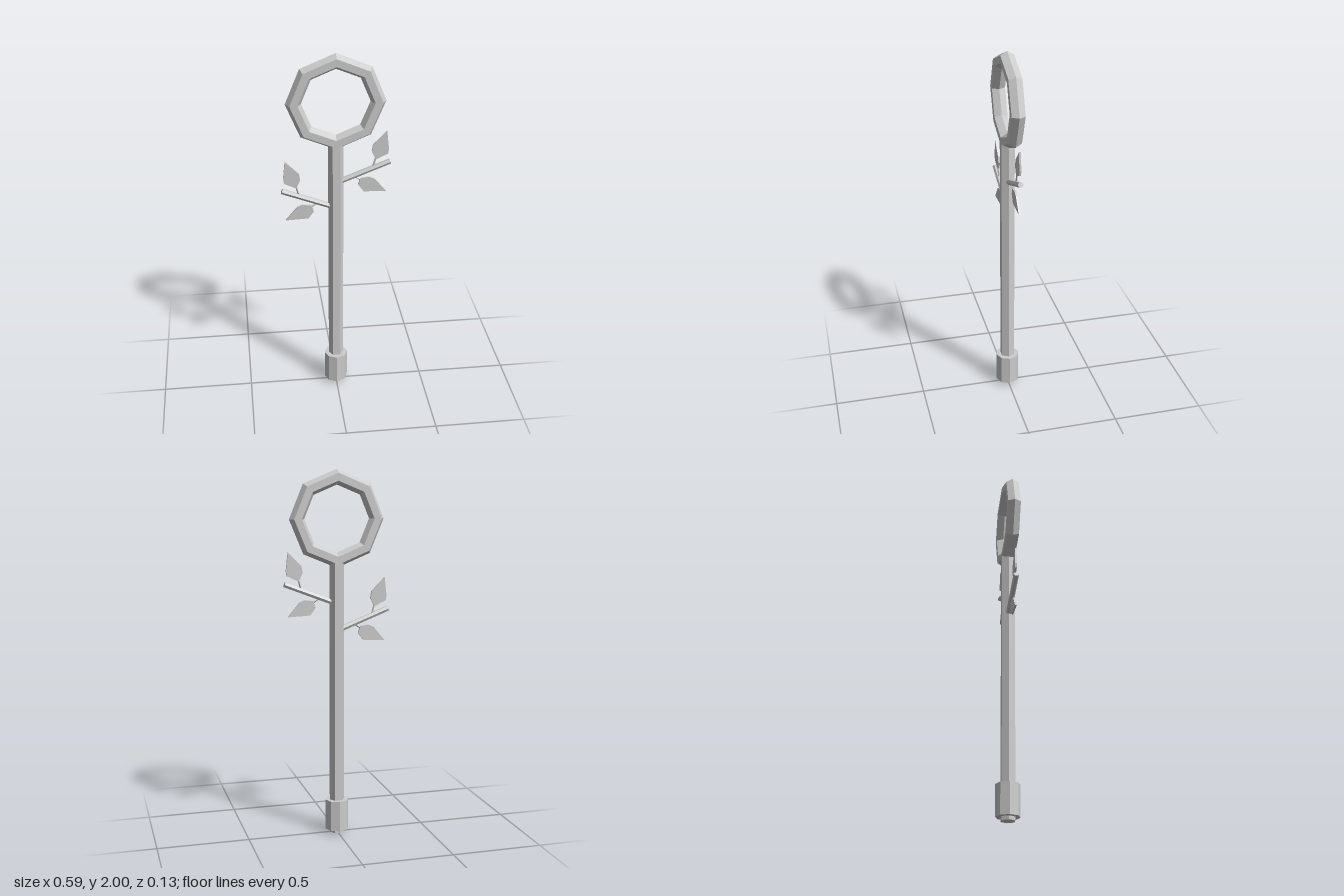
import * as THREE from 'three';

const material = new THREE.MeshStandardMaterial({ color: 0xcccccc, flatShading: true });

function addMesh(parent, name, geometry) {
  const mesh = new THREE.Mesh(geometry, material);
  mesh.name = name;
  parent.add(mesh);
  return mesh;
}

// Straight rod between two points in the z = 0 plane
function addRod(parent, name, from, to, radius, sides) {
  const a = new THREE.Vector3(from[0], from[1], 0);
  const b = new THREE.Vector3(to[0], to[1], 0);
  const dir = b.clone().sub(a);
  const rod = addMesh(parent, name, new THREE.CylinderGeometry(radius, radius, dir.length(), sides));
  rod.position.copy(a).add(b).multiplyScalar(0.5);
  rod.quaternion.setFromUnitVectors(new THREE.Vector3(0, 1, 0), dir.normalize());
}

// Thin flat leaf cut from an outline
function addLeaf(parent, name, outline) {
  const depth = 0.01;
  const shape = new THREE.Shape(outline.map(([x, y]) => new THREE.Vector2(x, y)));
  const geometry = new THREE.ExtrudeGeometry(shape, { depth, bevelEnabled: false });
  geometry.translate(0, 0, -depth / 2);
  addMesh(parent, name, geometry);
}

// Branch with an upper and a lower leaf, growing towards +x
function createBranch(name) {
  const branch = new THREE.Group();
  branch.name = name;
  addRod(branch, 'twig', [0.03, 1.298], [0.288, 1.398], 0.015, 6);
  addRod(branch, 'upperStem', [0.194, 1.36], [0.212, 1.425], 0.005, 4);
  addRod(branch, 'lowerStem', [0.09, 1.325], [0.133, 1.297], 0.005, 4);
  addLeaf(branch, 'upperLeaf', [
    [0.268, 1.568], [0.195, 1.495], [0.189, 1.458], [0.211, 1.412], [0.275, 1.443], [0.279, 1.47],
  ]);
  addLeaf(branch, 'lowerLeaf', [
    [0.27, 1.224], [0.206, 1.3], [0.178, 1.312], [0.132, 1.307], [0.119, 1.27], [0.148, 1.229],
  ]);
  return branch;
}

export function createModel() {
  const model = new THREE.Group();
  model.name = 'ringStaff';

  // Eight-sided ring with a hexagonal section
  addMesh(model, 'ring', new THREE.TorusGeometry(0.219, 0.041, 6, 8)).position.y = 1.74;

  // Hexagonal shaft with edges on the left and right
  const shaft = addMesh(model, 'shaft', new THREE.CylinderGeometry(0.041, 0.041, 1.52, 6));
  shaft.rotation.y = Math.PI / 2;
  shaft.position.y = 0.76;

  // Octagonal foot collar
  addMesh(model, 'collar', new THREE.CylinderGeometry(0.065, 0.065, 0.17, 8)).position.y = 0.105;

  // Left branch, and the lower one turned to the other side
  model.add(createBranch('leftBranch'));
  const right = createBranch('rightBranch');
  right.rotation.y = Math.PI;
  right.position.y = -0.146;
  model.add(right);

  return model;
}
